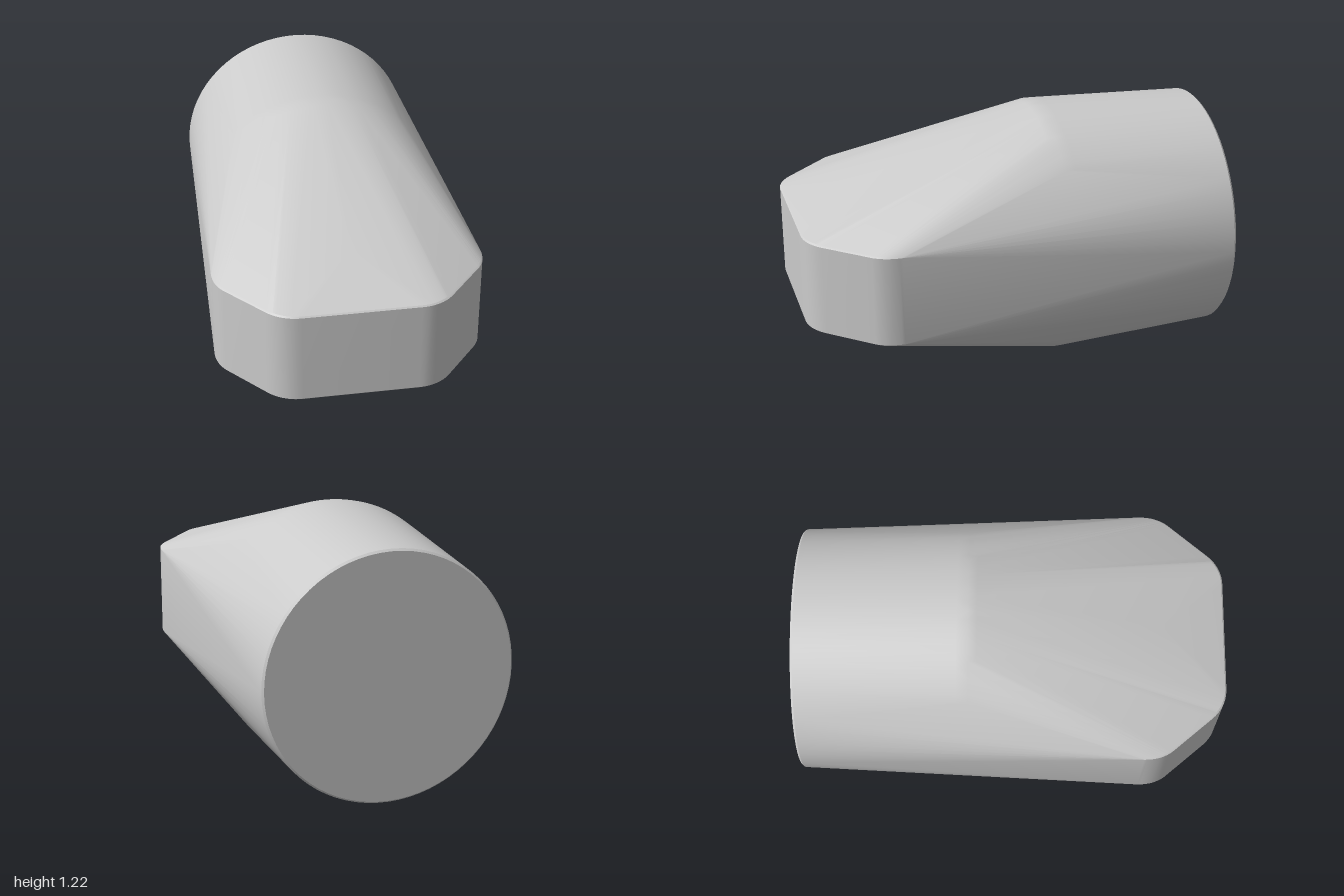
import * as THREE from 'three';
import { ConvexGeometry } from 'three/addons/geometries/ConvexGeometry.js';
import { toCreasedNormals } from 'three/addons/utils/BufferGeometryUtils.js';

const MID = 0.61; // height of the long axis

// Half plan outline of the wedge-shaped nose, with rounded corners
function noseOutline(inset) {
  const s = new THREE.Shape();
  s.moveTo(0.61 - inset, 0.61);
  s.quadraticCurveTo(0.61 - inset, 0.69, 0.57 - inset, 0.742 - inset);
  s.lineTo(0.41 - inset, 0.93 - inset);
  s.quadraticCurveTo(0.35 - inset, 1 - inset, 0.26, 1 - inset);
  return s.getPoints(10);
}

export function createModel() {
  const group = new THREE.Group();
  const points = [];
  const add = (x, y, z) => points.push(new THREE.Vector3(x, MID + y, z));

  // Round back end with a tiny bevel
  for (const [z, r] of [[-1, 0.566], [-0.99, 0.575]]) {
    for (let i = 0; i < 72; i++) {
      const a = (i / 72) * Math.PI * 2;
      add(Math.cos(a) * r, Math.sin(a) * r, z);
    }
  }

  // Softened crest arcs where the barrel meets the sloping nose
  for (const [z, r] of [[-0.25, 0.6075], [-0.2, 0.609], [-0.16, 0.602]]) {
    for (let i = -12; i <= 12; i++) {
      const a = (i / 12) * 0.75;
      for (const s of [1, -1]) add(Math.sin(a) * r, s * Math.cos(a) * r, z);
    }
  }

  // Upright nose band with slightly eased edges
  for (const [inset, h] of [[0, 0.216], [0.006, 0.222]]) {
    for (const p of noseOutline(inset)) {
      for (const sx of [1, -1]) for (const sy of [1, -1]) add(sx * p.x, sy * h, p.y);
    }
  }

  // Apex of the small triangular facets above and below the front
  for (const s of [1, -1]) add(0, s * 0.338, 0.69);

  const body = new THREE.Mesh(
    toCreasedNormals(new ConvexGeometry(points), 0.28),
    new THREE.MeshStandardMaterial({ color: 0xcccccc })
  );
  body.name = 'taperedBody';
  group.add(body);
  return group;
}
